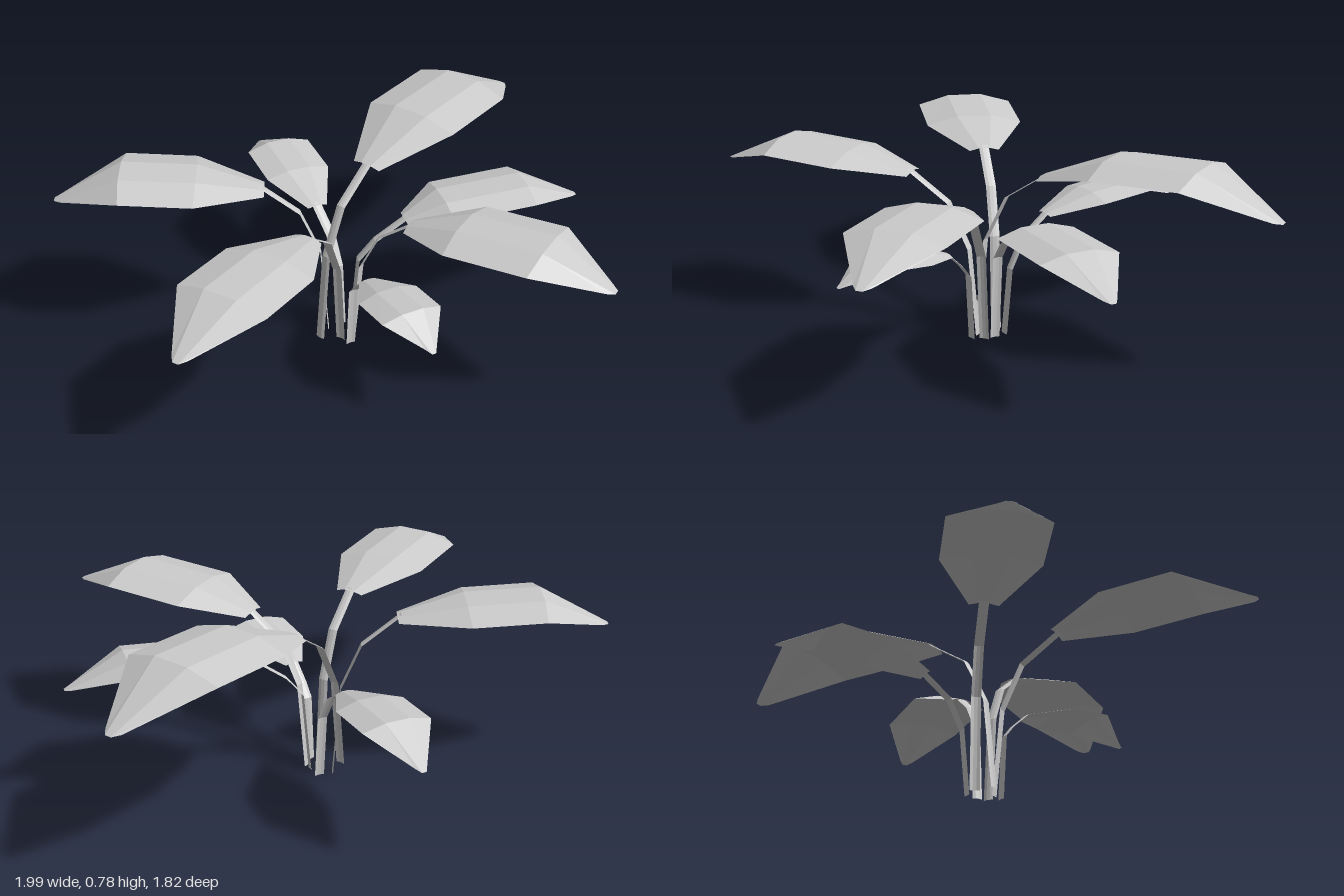
import * as THREE from 'three';

const material = new THREE.MeshStandardMaterial({ color: 0xcccccc, flatShading: true, side: THREE.DoubleSide });

// Arched cross-section: offset across the width and drop, both times the half width
const SECTION = [[-1, 0.18], [-0.36, 0], [0.36, 0], [1, 0.18]];
const STEM_HALF_WIDTH = 0.019;

// root, base and tip are [x, z]; heights are of blade base, crest and tip;
// shoulder is where the blade reaches full width; knee is the height of the stem's first bend
const FRONDS = [
  { name: 'leftFrond', root: [0.02, -0.06], base: [-0.22, -0.055], tip: [-1, -0.06],
    heights: [0.65, 0.725, 0.605], halfWidth: 0.187, shoulder: 0.32, knee: 0.56 },
  { name: 'frontLeftFrond', root: [0.065, 0.015], base: [-0.06, 0.24], tip: [-0.495, 0.905],
    heights: [0.625, 0.7, 0.585], halfWidth: 0.18, shoulder: 0.31, knee: 0.55 },
  { name: 'frontSmallFrond', root: [0.1, 0.045], base: [0.155, 0.145], tip: [0.37, 0.565],
    heights: [0.37, 0.43, 0.345], halfWidth: 0.12, shoulder: 0.31, knee: 0.7 },
  { name: 'frontRightFrond', root: [0.11, 0], base: [0.305, 0.125], tip: [0.985, 0.54],
    heights: [0.6, 0.69, 0.58], halfWidth: 0.183, shoulder: 0.27, knee: 0.57 },
  { name: 'rightFrond', root: [0.1, -0.04], base: [0.3, -0.08], tip: [0.98, -0.265],
    heights: [0.495, 0.58, 0.48], halfWidth: 0.148, shoulder: 0.21, knee: 0.67 },
  { name: 'backRightLargeFrond', root: [-0.018, 0.01], base: [0.16, -0.205], tip: [0.76, -0.9],
    heights: [0.655, 0.782, 0.635], halfWidth: 0.2, shoulder: 0.3, knee: 0.55 },
  { name: 'backSmallFrond', root: [0.07, -0.08], base: [-0.02, -0.25], tip: [-0.25, -0.805],
    heights: [0.445, 0.52, 0.42], halfWidth: 0.13, shoulder: 0.32, knee: 0.58 },
];

// Lofts the arched section along rows of { point, halfWidth }; heading fixes the width direction
function archedStrip(name, rows, heading, roundTip) {
  const side = new THREE.Vector3(0, 1, 0).cross(heading);
  const positions = [];
  const indices = [];
  const last = rows.length - 1;
  const n = SECTION.length;
  rows.forEach(({ point, halfWidth }, r) => {
    const before = rows[Math.max(r - 1, 0)].point;
    const after = rows[Math.min(r + 1, last)].point;
    const tangent = after.clone().sub(before).normalize();
    const normal = tangent.clone().cross(side).normalize();
    for (const [across, drop] of SECTION) {
      const p = point.clone().addScaledVector(side, across * halfWidth);
      p.addScaledVector(normal, -drop * halfWidth);
      // Pull the outer corners of the tip back so it reads as rounded
      if (roundTip && r === last && Math.abs(across) === 1) p.addScaledVector(tangent, -0.025);
      positions.push(p.x, Math.max(p.y, 0), p.z);
    }
    if (r === last) return;
    for (let c = 0; c < n - 1; c++) {
      const a = r * n + c;
      indices.push(a, a + n, a + 1, a + 1, a + n, a + n + 1);
    }
  });
  const geometry = new THREE.BufferGeometry();
  geometry.setAttribute('position', new THREE.Float32BufferAttribute(positions, 3));
  geometry.setIndex(indices);
  geometry.computeVertexNormals();
  const mesh = new THREE.Mesh(geometry, material);
  mesh.name = name;
  return mesh;
}

// Point a fraction of the way between two plan positions, at height y
function between(from, to, fraction, y) {
  return new THREE.Vector3(
    THREE.MathUtils.lerp(from[0], to[0], fraction), y, THREE.MathUtils.lerp(from[1], to[1], fraction));
}

function createFrond({ name, root, base, tip, heights, halfWidth, shoulder, knee }) {
  const [baseY, crestY, tipY] = heights;
  const heading = new THREE.Vector3(tip[0] - base[0], 0, tip[1] - base[1]).normalize();

  // Stem: nearly upright, then arching out to just inside the blade
  const stem = [
    [0, 0], [0.13, knee], [0.45, 0.83], [1.06, 1.01],
  ].map(([f, h]) => ({ point: between(root, base, f, h * baseY), halfWidth: STEM_HALF_WIDTH }));

  // Blade: narrow base, full width from shoulder to crest, small tip bent down
  const blade = [
    [0, baseY, 0.3], [shoulder, crestY - 0.015, 1], [0.68, crestY, 1], [1, tipY, 0.18],
  ].map(([f, y, w]) => ({ point: between(base, tip, f, y), halfWidth: w * halfWidth }));

  const frond = new THREE.Group();
  frond.name = name;
  frond.add(archedStrip('stem', stem, heading, false), archedStrip('leafBlade', blade, heading, true));
  return frond;
}

export function createModel() {
  const plant = new THREE.Group();
  plant.name = 'leafyPlant';
  for (const frond of FRONDS) plant.add(createFrond(frond));
  return plant;
}
